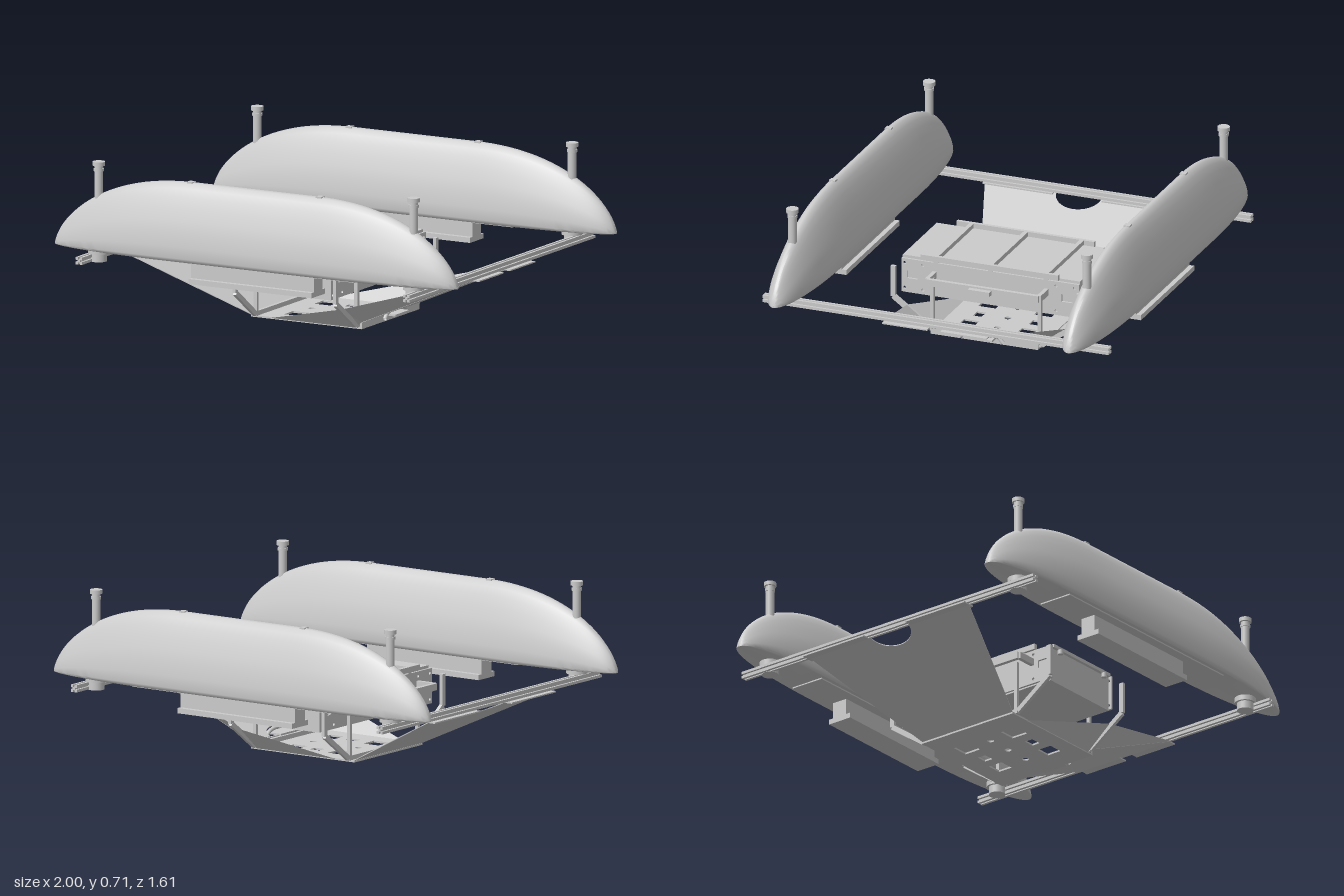
import * as THREE from 'three';
import { toCreasedNormals } from 'three/addons/utils/BufferGeometryUtils.js';

const grey = new THREE.MeshStandardMaterial({ color: 0xcccccc, side: THREE.DoubleSide });

function add(parent, name, geo, x = 0, y = 0, z = 0) {
  const m = new THREE.Mesh(geo, grey);
  m.name = name;
  m.position.set(x, y, z);
  parent.add(m);
  return m;
}
// box given by its min and max corners
function box(parent, name, x0, x1, y0, y1, z0, z1) {
  return add(parent, name, new THREE.BoxGeometry(x1 - x0, y1 - y0, z1 - z0),
    (x0 + x1) / 2, (y0 + y1) / 2, (z0 + z1) / 2);
}
const cyl = (r0, r1, h, n = 24) => new THREE.CylinderGeometry(r0, r1, h, n);
const vec = (p) => new THREE.Vector2(p[0], p[1]);

// square bar between two points
function bar(parent, name, a, b, w, h) {
  const A = new THREE.Vector3(...a), B = new THREE.Vector3(...b);
  const m = add(parent, name, new THREE.BoxGeometry(w, h, A.distanceTo(B)));
  m.position.copy(A).lerp(B, 0.5);
  m.lookAt(B);
}
// rectangle hole in plan
const rect = (x0, x1, z0, z1) =>
  new THREE.Path([[x0, z0], [x1, z0], [x1, z1], [x0, z1]].map(vec));
const disc = (x, z, r) => new THREE.Path().absarc(x, z, r, 0, Math.PI * 2, true);

// thin sheet drawn in plan (x, z), lifted by a slope rule y = f(x)
function sheet(parent, name, shape, t, f) {
  const g = new THREE.ExtrudeGeometry(shape, { depth: t, bevelEnabled: false, curveSegments: 16 });
  g.rotateX(Math.PI / 2);
  const p = g.attributes.position;
  for (let i = 0; i < p.count; i++) p.setY(i, p.getY(i) + t + f(p.getX(i)));
  g.computeVertexNormals();
  return add(parent, name, g);
}

// float hull lofted from bullet-shaped sections
function hullGeometry() {
  const half = [[0, 0], [0.9, 0], [0.97, 0.02], [1, 0.05], [0.97, 0.2], [0.88, 0.38], [0.76, 0.53],
    [0.6, 0.68], [0.44, 0.82], [0.28, 0.92], [0.13, 0.985], [0, 1]];
  const ring = [...half, ...half.slice(1, -1).reverse().map(([w, t]) => [-w, t])];
  const N = 64, R = ring.length, pos = [], idx = [];
  for (let i = 0; i <= N; i++) {
    const x = -Math.cos((i / N) * Math.PI), ax = Math.abs(x);
    const u = Math.max(0, (ax - 0.3) / 0.7), v = Math.max(0, (ax - 0.4) / 0.6);
    const h = 0.337 * Math.max(0.03, (1 - u ** 2.2) ** 0.62);
    const w = 0.108 * Math.max(0.03, Math.sqrt(1 - v ** 2.2));
    for (const [a, t] of ring) pos.push(x, 0.328 + h * t, a * w);
  }
  for (let i = 0; i < N; i++) for (let j = 0; j < R; j++) {
    const a = i * R + j, b = i * R + (j + 1) % R;
    idx.push(a, a + R, b, b, a + R, b + R);
  }
  for (let j = 1; j < R - 1; j++) idx.push(0, j, j + 1, N * R, N * R + j + 1, N * R + j);
  const g = new THREE.BufferGeometry();
  g.setAttribute('position', new THREE.Float32BufferAttribute(pos, 3));
  g.setIndex(idx);
  return toCreasedNormals(g, 0.7);
}

// slotted profile for the cross beams
function beamGeometry(length) {
  const q = [[0.004, 0.006], [0.004, 0.016], [0.016, 0.016], [0.016, 0.004], [0.006, 0.004]];
  const pts = [];
  for (let k = 0; k < 4; k++) {
    const c = [1, 0, -1, 0][k], s = [0, -1, 0, 1][k];
    for (const [x, y] of q) pts.push(vec([c * x - s * y, s * x + c * y]));
  }
  const g = new THREE.ExtrudeGeometry(new THREE.Shape(pts), { depth: length, bevelEnabled: false });
  return g.translate(0, 0, -length / 2);
}

export function createModel() {
  const model = new THREE.Group();
  model.name = 'catamaran';

  // floats with posts, feet and under-boxes
  const hull = hullGeometry();
  for (const s of [1, -1]) {
    const f = new THREE.Group();
    f.name = s > 0 ? 'frontFloat' : 'rearFloat';
    f.position.z = s * 0.685;
    model.add(f);
    add(f, 'hull', hull);
    box(f, 'keelPlate', -0.53, 0.53, 0.322, 0.33, -0.08, 0.08);
    box(f, 'underBox', -0.305, 0.305, 0.25, 0.325, -0.036, 0.036);
    box(f, 'underBoxFlange', -0.305, 0.305, 0.227, 0.25, -0.058, 0.058);
    for (const x of [-0.325, 0.315]) box(f, 'deckFitting', x - 0.014, x + 0.014, 0.64, 0.667, -0.014, 0.014);
    for (const x of [-0.785, 0.78]) {
      add(f, 'post', cyl(0.019, 0.019, 0.17), x, 0.61, 0);
      add(f, 'postCollar', cyl(0.022, 0.022, 0.012), x, 0.672, 0);
      add(f, 'postCap', cyl(0.027, 0.027, 0.018), x, 0.699, 0);
      add(f, 'footDisc', cyl(0.046, 0.046, 0.025), x, 0.317, 0);
      add(f, 'footBlock', cyl(0.036, 0.036, 0.035), x, 0.288, 0);
    }
  }

  // cross beams
  for (const x of [-0.815, 0.812]) add(model, 'crossBeam', beamGeometry(1.61), x, 0.288, 0);

  // central equipment box with end panels, lids and rails
  const c = new THREE.Group();
  c.name = 'equipmentBox';
  model.add(c);
  box(c, 'boxBody', -0.2, 0.2, 0.145, 0.3, -0.4, 0.395);
  for (const [a, b] of [[-0.415, -0.272], [-0.25, -0.013], [0.008, 0.24], [0.262, 0.41]])
    box(c, 'lid', -0.195, 0.195, 0.3, 0.315, a, b);
  for (const z of [-0.262, -0.003, 0.25]) box(c, 'crossRail', -0.212, 0.21, 0.305, 0.335, z - 0.01, z + 0.01);
  for (const x of [-0.208, 0.205]) {
    box(c, 'longRail', x - 0.008, x + 0.008, 0.31, 0.335, -0.32, 0.32);
    const s = new THREE.Shape([[-0.415, 0.15], [0.41, 0.15], [0.41, 0.305], [-0.415, 0.305]].map(vec));
    for (const e of [-1, 1]) {
      s.holes.push(rect(e * 0.36 - 0.025, e * 0.36 + 0.025, 0.215, 0.25));
      for (const [z, y] of [[0.395, 0.17], [0.395, 0.285], [0.31, 0.17], [0.31, 0.285]])
        s.holes.push(disc(e * z, y, 0.007));
    }
    const g = new THREE.ExtrudeGeometry(s, { depth: 0.01, bevelEnabled: false }).rotateY(-Math.PI / 2);
    add(c, 'endPanel', g, x + 0.005, 0, 0);
  }
  for (const z of [-0.42, 0.41]) for (const x of [-0.15, 0.15])
    add(c, 'latch', cyl(0.012, 0.012, 0.02), x, 0.29, z);

  // side bumper frames beside the box
  for (const [x0, x1, z0, z1] of [[-0.205, -0.307, -0.32, 0.305], [0.2, 0.298, -0.265, 0.255]]) {
    bar(model, 'bumper', [x1, 0.25, z0], [x1, 0.25, z1], 0.018, 0.03);
    for (const z of [z0, z1]) bar(model, 'bumperArm', [x0, 0.25, z], [x1, 0.25, z], 0.018, 0.03);
  }
  for (const x of [-0.33, 0.325]) box(model, 'bumperTab', x - 0.012, x + 0.012, 0.24, 0.26, -0.05, 0.05);

  // cradle hoops carrying the base plate
  const hoop = [[0.28, -0.432], [0.14, -0.432], [0.017, -0.26], [0.017, 0.26], [0.14, 0.432], [0.28, 0.432]];
  for (const x of [-0.253, 0.247]) {
    for (let i = 0; i < hoop.length - 1; i++)
      bar(model, 'cradleHoop', [x, ...hoop[i]], [x, ...hoop[i + 1]], 0.016, 0.022);
    for (const s of [-1, 1]) box(model, 'hoopStrut', x - 0.008, x + 0.008, 0.01, 0.25, s * 0.25 - 0.008, s * 0.25 + 0.008);
  }

  // base plate with cut-outs
  const base = new THREE.Shape([[-0.28, -0.25], [0.27, -0.25], [0.27, 0.25], [-0.28, 0.25]].map(vec));
  base.holes.push(rect(-0.16, -0.08, -0.17, -0.09), rect(-0.16, -0.08, 0.09, 0.17), rect(0.08, 0.15, -0.17, -0.1),
    rect(0.08, 0.15, 0.1, 0.17), rect(-0.02, 0.03, -0.15, -0.11), rect(-0.02, 0.03, 0.11, 0.15),
    disc(0, 0, 0.015), disc(0.12, 0, 0.015), disc(-0.12, 0, 0.015));
  sheet(model, 'basePlate', base, 0.008, () => 0);

  // sloping apron on the -x side, flaring outwards, with a round notch
  const wide = new THREE.Shape();
  wide.moveTo(-0.27, -0.245).lineTo(-0.27, 0.245).lineTo(-0.82, 0.44).lineTo(-0.82, 0.105);
  wide.absellipse(-0.82, 0, 0.078, 0.105, Math.PI / 2, -Math.PI / 2, true);
  wide.lineTo(-0.82, -0.44);
  sheet(model, 'wideApron', wide, 0.004, (x) => 0.004 + (-0.27 - x) * 0.48);

  // sloping apron on the +x side, notched at both ends
  const narrow = new THREE.Shape();
  narrow.moveTo(0.27, 0.25).lineTo(0.27, 0.11);
  narrow.absellipse(0.27, 0, 0.06, 0.11, Math.PI / 2, -Math.PI / 2, true);
  narrow.lineTo(0.27, -0.25).lineTo(0.82, -0.245).lineTo(0.82, -0.03).lineTo(0.78, -0.012)
    .lineTo(0.78, 0.012).lineTo(0.82, 0.03).lineTo(0.82, 0.245);
  sheet(model, 'narrowApron', narrow, 0.004, (x) => 0.028 + (x - 0.27) * 0.435);
  box(model, 'apronLip', 0.262, 0.272, 0, 0.03, -0.25, 0.25);

  // flat tabs fixing the aprons under the beams
  for (const s of [-1, 1]) {
    const [a, b] = s > 0 ? [0.115, 0.44] : [-0.45, -0.115];
    box(model, 'wideTab', -0.853, -0.79, 0.265, 0.271, a, b);
    const [d, e] = s > 0 ? [0.03, 0.24] : [-0.245, -0.03];
    box(model, 'narrowTab', 0.79, 0.85, 0.265, 0.271, d, e);

    // folded triangular wings beside the narrow apron and base plate
    const peak = [0.24, 0.105, s * 0.37], foot = [0.27, 0.03, s * 0.25];
    const tris = [[0.82, 0.268, s * 0.247], foot, peak, foot, [0.24, 0.004, s * 0.25], peak,
      [0.24, 0.004, s * 0.25], [-0.18, 0.004, s * 0.25], peak];
    const g = new THREE.BufferGeometry();
    g.setAttribute('position', new THREE.Float32BufferAttribute(tris.flat(), 3));
    g.computeVertexNormals();
    add(model, 'wing', g);
  }

  // small rounded handle inside the apron notch
  const grip = new THREE.CatmullRomCurve3([[-0.1, 0.02], [-0.075, 0.045], [0, 0.055], [0.075, 0.045], [0.1, 0.02]]
    .map(([z, y]) => new THREE.Vector3(0.3, y, z)));
  add(model, 'handle', new THREE.TubeGeometry(grip, 24, 0.009, 8));
  box(model, 'handleBracket', 0.25, 0.33, 0.028, 0.036, -0.06, 0.06);
  return model;
}
